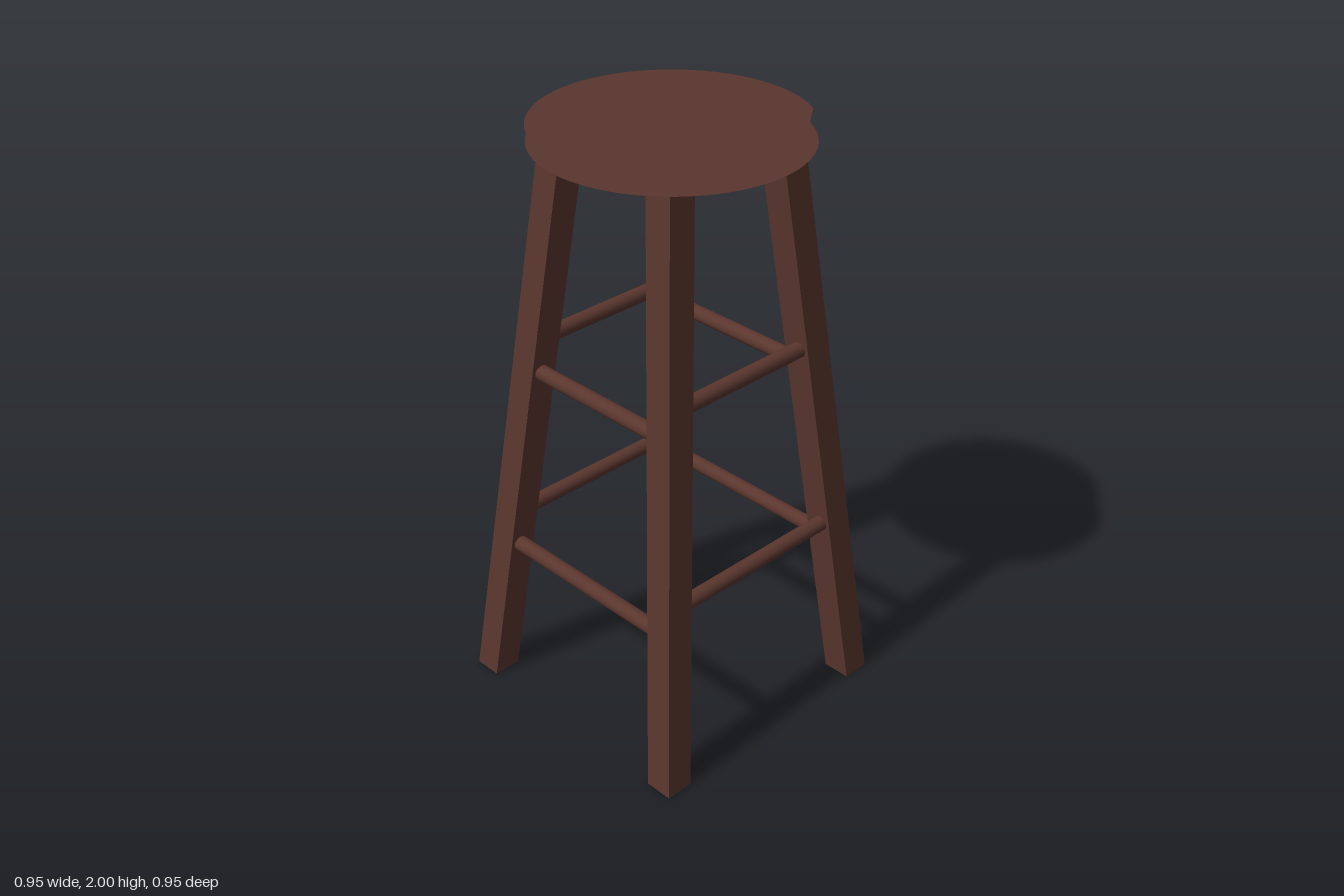
import * as THREE from 'three';

const LEG_TOP = 1.945;
// distance of a leg's centre line from each axis at height y
const splay = (y) => 0.427 - 0.103 * y;

export function createModel() {
  const wood = new THREE.MeshStandardMaterial({ color: 0x5a362e });
  wood.name = 'dark wood';
  const thinWood = wood.clone();
  thinWood.name = 'dark wood seat';
  thinWood.side = THREE.DoubleSide;

  const model = new THREE.Group();
  model.name = 'barStool';
  const add = (name, geometry, material = wood) => {
    const mesh = new THREE.Mesh(geometry, material);
    mesh.name = name;
    model.add(mesh);
    return mesh;
  };

  // Seat: two open discs, the upper one trimmed by a short straight edge
  const radius = 0.426;
  const trimmed = new THREE.Shape();
  const from = -0.55, to = -0.55 - 0.78; // ends of the straight edge
  trimmed.absarc(0, 0, radius, from, to + Math.PI * 2, false);
  trimmed.closePath();
  const top = add('seatTop', new THREE.ShapeGeometry(trimmed, 64), thinWood);
  top.rotation.x = -Math.PI / 2;
  top.position.y = 2;
  const under = add('seatUnderside', new THREE.CircleGeometry(radius, 64), thinWood);
  under.rotation.x = -Math.PI / 2;
  under.position.y = 1.948;

  // Legs: square posts sheared inwards towards the seat
  for (const sx of [-1, 1]) {
    for (const sz of [-1, 1]) {
      const g = new THREE.BoxGeometry(0.096, LEG_TOP, 0.096);
      g.translate(0, LEG_TOP / 2, 0);
      const p = g.attributes.position;
      for (let i = 0; i < p.count; i++) {
        const s = splay(p.getY(i));
        p.setX(i, p.getX(i) + sx * s);
        p.setZ(i, p.getZ(i) + sz * s);
      }
      g.computeVertexNormals();
      add((sz > 0 ? 'front' : 'back') + (sx > 0 ? 'Left' : 'Right') + 'Leg', g);
    }
  }

  // Rungs: two heights on each side, side pairs slightly lower
  const rung = (name, y, side, alongX) => {
    const g = new THREE.CylinderGeometry(0.026, 0.026, splay(y) * 2, 20);
    const mesh = add(name, g);
    const off = side * (splay(y) + 0.01);
    if (alongX) {
      mesh.rotation.z = Math.PI / 2;
      mesh.position.set(0, y, off);
    } else {
      mesh.rotation.x = Math.PI / 2;
      mesh.position.set(off, y, 0);
    }
  };
  for (const side of [-1, 1]) {
    for (const y of [0.623, 1.27]) rung(side > 0 ? 'frontRung' : 'backRung', y, side, true);
    for (const y of [0.535, 1.183]) rung(side > 0 ? 'leftRung' : 'rightRung', y, side, false);
  }
  return model;
}
